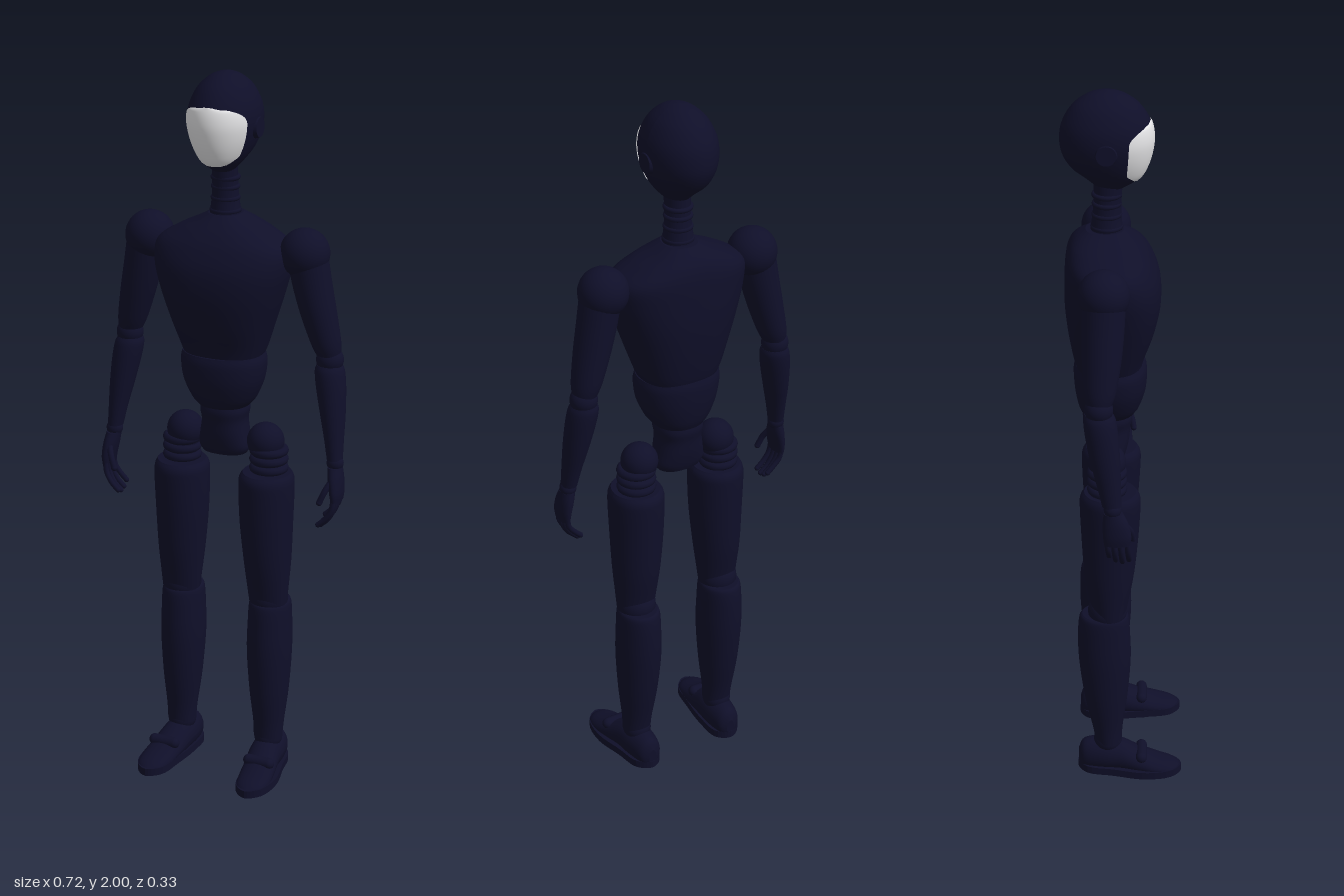
import * as THREE from 'three';

const suit = new THREE.MeshStandardMaterial({ color: 0x0f0f29 });
suit.name = 'midnight navy';
const white = new THREE.MeshStandardMaterial({ color: 0xe6e6e8, side: THREE.DoubleSide });
white.name = 'face white';

// Smooth interpolation of cross-sections [y, x, z, rx, rz] at parameter u
function sectionAt(secs, u) {
  const i = Math.min(Math.floor(u), secs.length - 2), t = u - i;
  const at = k => secs[Math.max(0, Math.min(secs.length - 1, k))];
  return secs[i].map((_, c) => {
    const p0 = at(i - 1)[c], p1 = at(i)[c], p2 = at(i + 1)[c], p3 = at(i + 2)[c];
    return p1 + 0.5 * t * (p2 - p0 + t * (2 * p0 - 5 * p1 + 4 * p2 - p3 + t * (3 * (p1 - p2) + p3 - p0)));
  });
}

// Point on a (super)elliptic cross-section
function ringPoint([y, x, z, rx, rz], a, pow) {
  const c = Math.cos(a), s = Math.sin(a);
  return [x + rx * Math.sign(c) * Math.abs(c) ** (2 / pow), y, z + rz * Math.sign(s) * Math.abs(s) ** (2 / pow)];
}

// Closed loft through cross-sections listed from low to high
function loft(secs, { pow = 2, seg = 36, sub = 5 } = {}) {
  const pos = [], idx = [], rows = (secs.length - 1) * sub, w = seg + 1;
  for (let r = 0; r <= rows; r++) {
    const s = sectionAt(secs, r / sub);
    for (let j = 0; j <= seg; j++) pos.push(...ringPoint(s, (j % seg) / seg * Math.PI * 2, pow));
  }
  for (let r = 0; r < rows; r++) for (let j = 0; j < seg; j++) {
    const a = r * w + j;
    idx.push(a, a + w, a + 1, a + 1, a + w, a + w + 1);
  }
  // End caps with their own vertices, so rims stay crisp
  for (const top of [false, true]) {
    const s = top ? secs[secs.length - 1] : secs[0], c = pos.length / 3;
    pos.push(s[1], s[0], s[2]);
    for (let j = 0; j <= seg; j++) pos.push(...ringPoint(s, j / seg * Math.PI * 2, pow));
    for (let j = 1; j <= seg; j++) top ? idx.push(c, c + j + 1, c + j) : idx.push(c, c + j, c + j + 1);
  }
  const g = new THREE.BufferGeometry();
  g.setAttribute('position', new THREE.Float32BufferAttribute(pos, 3));
  g.setIndex(idx);
  g.computeVertexNormals();
  return g;
}

const HEAD = [
  [1.742, 0, -0.035, 0.028, 0.036], [1.768, 0, -0.03, 0.052, 0.07], [1.80, 0, -0.04, 0.074, 0.099],
  [1.84, 0, -0.045, 0.09, 0.116], [1.88, 0, -0.045, 0.096, 0.12], [1.92, 0, -0.045, 0.09, 0.112],
  [1.96, 0, -0.045, 0.07, 0.087], [1.985, 0, -0.045, 0.044, 0.055], [1.996, 0, -0.045, 0.022, 0.028],
  [2.0, 0, -0.045, 0.003, 0.004]];

// White mask wrapped on the front of the head
function faceGeometry() {
  const pos = [], idx = [], rows = 24, cols = 24;
  for (let r = 0; r <= rows; r++) {
    const u = 0.85 + (r / rows) * 4.25, s = sectionAt(HEAD, u), v = r / rows;
    const round = Math.min(1, Math.sqrt(Math.max(0, 1 - Math.max(0, (v - 0.72) / 0.28) ** 2.4)));
    const chin = Math.min(1, Math.sqrt(v / 0.2));
    const half = 1.09 * Math.max(0.02, round * (0.35 + 0.65 * chin));
    s[3] += 0.002; s[4] += 0.003;
    for (let j = 0; j <= cols; j++) pos.push(...ringPoint(s, Math.PI / 2 + half * (1 - 2 * j / cols), 2));
  }
  for (let r = 0; r < rows; r++) for (let j = 0; j < cols; j++) {
    const a = r * (cols + 1) + j, b = a + cols + 1;
    idx.push(a, a + 1, b, a + 1, b + 1, b);
  }
  // Winding runs from left to right, so flip to face forward
  for (let i = 0; i < idx.length; i += 3) [idx[i + 1], idx[i + 2]] = [idx[i + 2], idx[i + 1]];
  const g = new THREE.BufferGeometry();
  g.setAttribute('position', new THREE.Float32BufferAttribute(pos, 3));
  g.setIndex(idx);
  g.computeVertexNormals();
  return g;
}

export function createModel() {
  const model = new THREE.Group();
  model.name = 'mannequin';
  const add = (parent, name, geo, mat = suit) => {
    const m = new THREE.Mesh(geo, mat);
    m.name = name;
    parent.add(m);
    return m;
  };
  const ball = (parent, name, x, y, z, r, sy = 1) => {
    const m = add(parent, name, new THREE.SphereGeometry(r, 32, 20));
    m.position.set(x, y, z);
    m.scale.y = sy;
  };
  const ring = (parent, name, x, y, z, r, tube) => {
    const m = add(parent, name, new THREE.TorusGeometry(r, tube, 10, 32));
    m.rotation.x = Math.PI / 2;
    m.position.set(x, y, z);
  };

  // Head, mask and ears
  add(model, 'head', loft(HEAD));
  add(model, 'faceMask', faceGeometry(), white);
  for (const s of [1, -1]) {
    const ear = add(model, 'ear', new THREE.CylinderGeometry(0.026, 0.03, 0.012, 28));
    ear.rotation.z = -s * Math.PI / 2;
    ear.position.set(s * 0.093, 1.86, -0.045);
  }

  // Neck
  add(model, 'neck', loft([[1.60, 0, -0.045, 0.046, 0.046], [1.65, 0, -0.045, 0.038, 0.039],
    [1.70, 0, -0.043, 0.034, 0.036], [1.77, 0, -0.04, 0.034, 0.038]]));
  for (const [y, r] of [[1.632, 0.036], [1.665, 0.033], [1.695, 0.032], [1.72, 0.033]]) ring(model, 'neckRing', 0, y, -0.045, r, 0.007);

  // Trunk
  add(model, 'chest', loft([[1.24, 0, -0.04, 0.108, 0.088], [1.27, 0, -0.04, 0.12, 0.096],
    [1.34, 0, -0.034, 0.143, 0.114], [1.42, 0, -0.03, 0.169, 0.126], [1.49, 0, -0.031, 0.187, 0.125],
    [1.545, 0, -0.04, 0.185, 0.113], [1.58, 0, -0.048, 0.135, 0.097], [1.605, 0, -0.052, 0.083, 0.076],
    [1.625, 0, -0.05, 0.045, 0.05]], { pow: 2.4, seg: 48 }));
  add(model, 'abdomen', loft([[1.095, 0, -0.043, 0.07, 0.07], [1.12, 0, -0.04, 0.09, 0.083],
    [1.17, 0, -0.037, 0.111, 0.095], [1.22, 0, -0.037, 0.118, 0.098], [1.245, 0, -0.038, 0.113, 0.093]], { pow: 2.2 }));
  add(model, 'pelvis', loft([[0.955, 0, -0.045, 0.062, 0.042], [0.975, 0, -0.045, 0.073, 0.05],
    [1.01, 0, -0.045, 0.068, 0.058], [1.05, 0, -0.045, 0.062, 0.062], [1.08, 0, -0.045, 0.066, 0.067],
    [1.105, 0, -0.045, 0.06, 0.062]], { pow: 2.3 }));

  for (const s of [1, -1]) {
    const side = s > 0 ? 'left' : 'right';
    const limb = secs => loft(secs.map(([y, x, ...r]) => [y, x * s, ...r]));

    // Leg
    const leg = new THREE.Group();
    leg.name = side + 'Leg';
    model.add(leg);
    ball(leg, 'hipBall', s * 0.12, 1.0, -0.045, 0.051);
    for (const y of [0.975, 0.95, 0.925]) ring(leg, 'hipRing', s * 0.13, y, -0.045, 0.042, 0.012);
    add(leg, 'hipStem', limb([[0.88, 0.13, -0.045, 0.043, 0.043], [0.99, 0.125, -0.045, 0.043, 0.043]]));
    add(leg, 'thigh', limb([[0.53, 0.133, -0.04, 0.054, 0.045], [0.57, 0.132, -0.04, 0.058, 0.052],
      [0.66, 0.13, -0.04, 0.066, 0.068], [0.77, 0.127, -0.038, 0.073, 0.077], [0.87, 0.127, -0.037, 0.076, 0.082],
      [0.9, 0.127, -0.037, 0.074, 0.08], [0.915, 0.128, -0.037, 0.066, 0.07]]));
    ball(leg, 'kneeBall', s * 0.133, 0.54, -0.045, 0.054);
    add(leg, 'shin', limb([[0.11, 0.135, -0.043, 0.041, 0.037], [0.16, 0.135, -0.046, 0.044, 0.043],
      [0.26, 0.134, -0.05, 0.055, 0.06], [0.38, 0.133, -0.053, 0.062, 0.072], [0.47, 0.133, -0.055, 0.06, 0.072],
      [0.52, 0.133, -0.055, 0.057, 0.068], [0.532, 0.133, -0.055, 0.05, 0.06]]));
    ball(leg, 'ankle', s * 0.135, 0.11, -0.045, 0.04);

    // Foot: lofted along its length, standing on a flat sole
    const foot = limb([[-0.128, 0.132, -0.05, 0.012, 0.025], [-0.112, 0.133, -0.058, 0.034, 0.046],
      [-0.06, 0.135, -0.062, 0.045, 0.05], [-0.01, 0.138, -0.06, 0.046, 0.047], [0.04, 0.145, -0.047, 0.047, 0.037],
      [0.09, 0.151, -0.037, 0.047, 0.027], [0.135, 0.153, -0.032, 0.037, 0.018], [0.158, 0.153, -0.03, 0.012, 0.006]]);
    add(leg, 'foot', foot.rotateX(Math.PI / 2));
    const outline = [[0.132, 0.13], [0.095, 0.105], [0.09, 0.03], [0.1, -0.06], [0.115, -0.135],
      [0.153, -0.163], [0.19, -0.135], [0.204, -0.06], [0.187, 0.03], [0.171, 0.105]];
    const sole = new THREE.Shape(new THREE.CatmullRomCurve3(
      outline.map(([x, z]) => new THREE.Vector3(x * s, z, 0)), true).getPoints(48).map(p => new THREE.Vector2(p.x, p.y)));
    const soleMesh = add(leg, 'sole', new THREE.ExtrudeGeometry(sole, { depth: 0.022, bevelEnabled: false }));
    soleMesh.rotation.x = -Math.PI / 2;
    soleMesh.position.y = 0.015;
    const bar = add(leg, 'toeJoint', new THREE.CapsuleGeometry(0.016, 0.06, 6, 16));
    bar.rotation.z = Math.PI / 2;
    bar.position.set(s * 0.147, 0.073, 0.05);
    const pad = add(leg, 'ballPad', new THREE.CylinderGeometry(0.035, 0.03, 0.02, 24));
    pad.position.set(s * 0.148, 0.01, 0.05);

    // Arm
    const arm = new THREE.Group();
    arm.name = side + 'Arm';
    model.add(arm);
    ball(arm, 'shoulderBall', s * 0.225, 1.537, -0.05, 0.067);
    add(arm, 'upperArm', limb([[1.265, 0.292, -0.062, 0.033, 0.034], [1.30, 0.284, -0.06, 0.041, 0.043],
      [1.38, 0.264, -0.055, 0.049, 0.051], [1.46, 0.246, -0.052, 0.053, 0.055], [1.53, 0.234, -0.05, 0.054, 0.056]]));
    ball(arm, 'elbowBall', s * 0.296, 1.25, -0.063, 0.037);
    add(arm, 'forearm', limb([[0.985, 0.328, -0.03, 0.021, 0.025], [1.04, 0.322, -0.037, 0.026, 0.031],
      [1.11, 0.313, -0.047, 0.034, 0.039], [1.18, 0.303, -0.056, 0.04, 0.043], [1.22, 0.297, -0.061, 0.04, 0.042],
      [1.237, 0.295, -0.063, 0.034, 0.036]]));
    ball(arm, 'wrist', s * 0.33, 0.975, -0.028, 0.023);

    // Hand with four curled fingers and a thumb
    add(arm, 'palm', limb([[0.875, 0.342, -0.016, 0.013, 0.034], [0.90, 0.341, -0.016, 0.017, 0.037],
      [0.935, 0.336, -0.02, 0.02, 0.034], [0.965, 0.331, -0.026, 0.02, 0.025]]));
    const digit = (name, pts, r) => {
      const curve = new THREE.CatmullRomCurve3(pts.map(([x, y, z]) => new THREE.Vector3(x * s, y, z)));
      add(arm, name, new THREE.TubeGeometry(curve, 12, r, 10));
      const tip = pts[pts.length - 1];
      ball(arm, name + 'Tip', tip[0] * s, tip[1], tip[2], r);
    };
    for (let i = 0; i < 4; i++) {
      const z = 0.01 - i * 0.0175, d = [0.006, 0, 0.005, 0.018][i];
      digit('finger', [[0.342, 0.89, z], [0.337, 0.85 + d / 2, z + 0.002],
        [0.321, 0.82 + d, z + 0.004], [0.301, 0.801 + d, z + 0.005]], 0.0075);
    }
    digit('thumb', [[0.333, 0.935, 0], [0.319, 0.905, 0.018], [0.307, 0.875, 0.025]], 0.0085);
  }
  return model;
}
